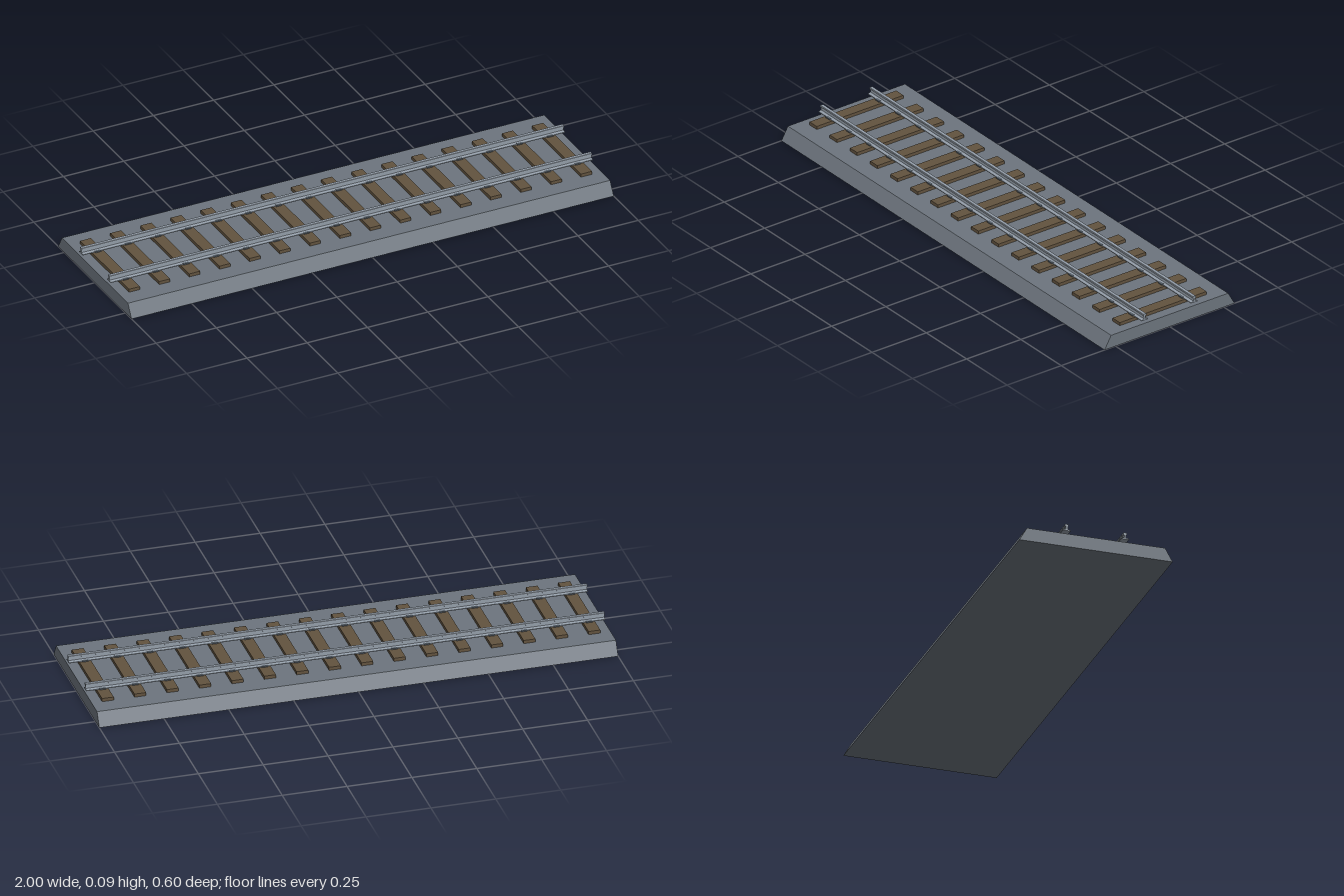
import * as THREE from 'three';

const material = (name, color) => {
  const m = new THREE.MeshStandardMaterial({ color });
  m.name = name;
  return m;
};

// Extrudes a closed (z, y) cross-section along x, centred on x = 0.
function extrudeAlongX(points, length) {
  const shape = new THREE.Shape(points.map(([z, y]) => new THREE.Vector2(-z, y)));
  const geometry = new THREE.ExtrudeGeometry(shape, { depth: length, bevelEnabled: false });
  geometry.translate(0, 0, -length / 2);
  geometry.rotateY(Math.PI / 2);
  return geometry;
}

export function createModel() {
  const group = new THREE.Group();
  group.name = 'railwayTrack';
  const gravel = material('ballastGrey', 0x6d757e);
  const wood = material('sleeperBrown', 0x62533f);
  const steel = material('railSteel', 0x939da8);
  const iron = material('fasteningGrey', 0x59626b);

  const add = (name, geometry, mat, x = 0, y = 0, z = 0) => {
    const mesh = new THREE.Mesh(geometry, mat);
    mesh.name = name;
    mesh.position.set(x, y, z);
    group.add(mesh);
  };

  const bedTop = 0.052, sleeperTop = 0.065, railZ = 0.114;

  // Ballast bed with sloping shoulders
  add('ballastBed', extrudeAlongX([[-0.3, 0], [0.3, 0], [0.27, bedTop], [-0.27, bedTop]], 2), gravel);

  // Rails: foot, web and head, mirrored about the centre line
  const half = [[0.015, 0], [0.015, 0.003], [0.0035, 0.006], [0.0035, 0.017], [0.007, 0.019], [0.007, 0.025], [0.006, 0.026]];
  const profile = [...half, ...half.map(([z, y]) => [-z, y]).reverse()];
  const railGeometry = extrudeAlongX(profile, 2);
  for (const side of [1, -1]) add(side > 0 ? 'frontRail' : 'backRail', railGeometry, steel, 0, sleeperTop, side * railZ);

  // Sleepers, each with a fastening on both sides of each rail
  const sleeperGeometry = new THREE.BoxGeometry(0.045, sleeperTop - bedTop + 0.004, 0.4);
  const clipGeometry = new THREE.BoxGeometry(0.024, 0.005, 0.01);
  for (let i = 0; i < 16; i++) {
    const x = -0.9375 + i * 0.125;
    add('sleeper', sleeperGeometry, wood, x, (sleeperTop + bedTop - 0.004) / 2, 0);
    for (const rail of [railZ, -railZ])
      for (const edge of [0.0145, -0.0145]) add('railFastening', clipGeometry, iron, x, sleeperTop + 0.002, rail + edge);
  }
  return group;
}
